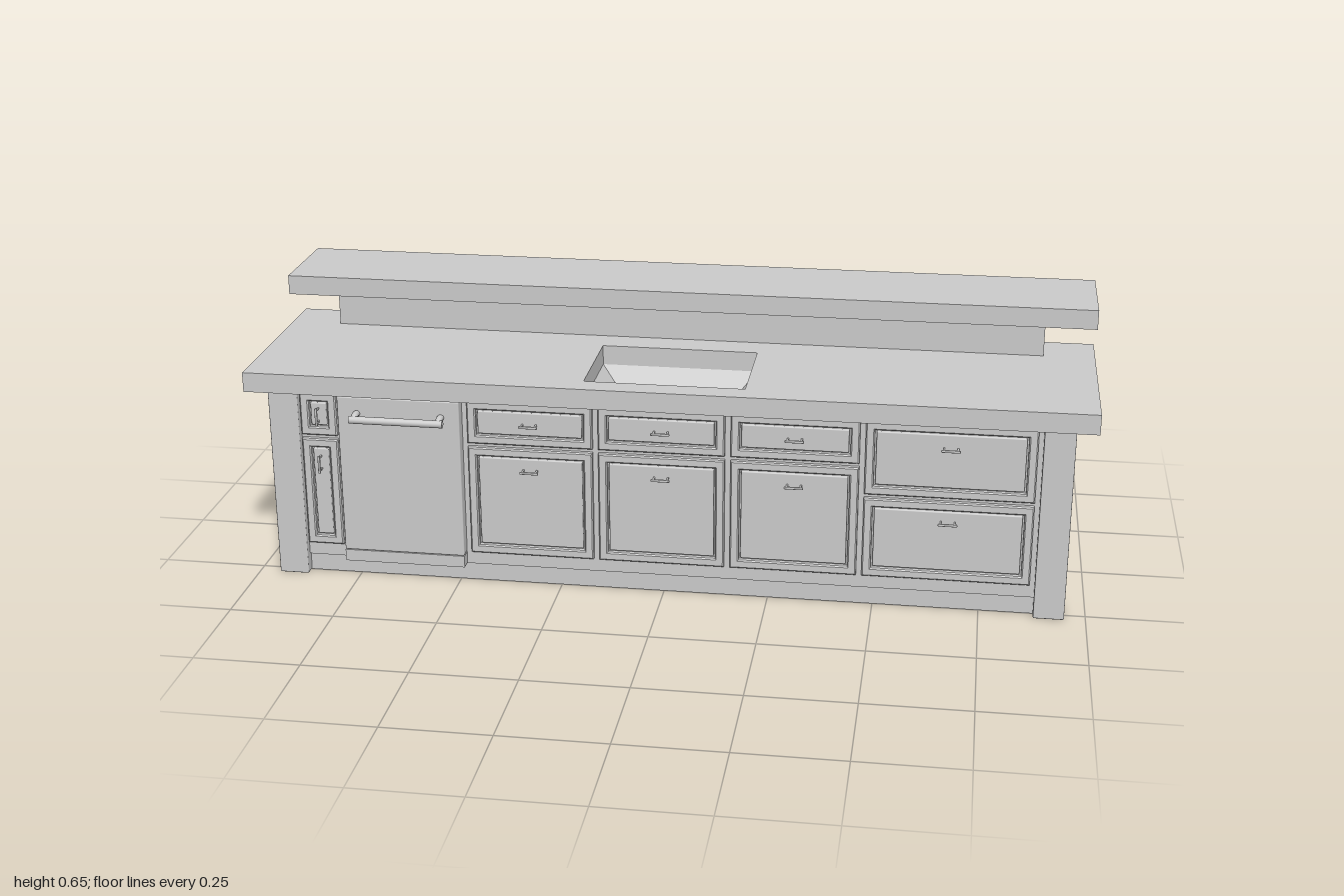
import * as THREE from 'three';
import { RoundedBoxGeometry } from 'three/addons/geometries/RoundedBoxGeometry.js';

const material = new THREE.MeshStandardMaterial({ color: 0xcccccc });
const thinMaterial = new THREE.MeshStandardMaterial({ color: 0xcccccc, flatShading: true, side: THREE.DoubleSide });

function add(parent, name, geometry, mat = material) {
  const mesh = new THREE.Mesh(geometry, mat);
  mesh.name = name;
  parent.add(mesh);
  return mesh;
}

// Box given by its extents on each axis; an optional radius softens the edges
function block(parent, name, x0, x1, y0, y1, z0, z1, radius = 0) {
  const size = [x1 - x0, y1 - y0, z1 - z0];
  const geometry = radius
    ? new RoundedBoxGeometry(...size, 2, radius)
    : new THREE.BoxGeometry(...size);
  const mesh = add(parent, name, geometry);
  mesh.position.set((x0 + x1) / 2, (y0 + y1) / 2, (z0 + z1) / 2);
  return mesh;
}

function rectangle(target, x0, x1, y0, y1) {
  target.moveTo(x0, y0);
  target.lineTo(x1, y0);
  target.lineTo(x1, y1);
  target.lineTo(x0, y1);
  target.closePath();
  return target;
}

function rectangleWithHole(outer, inner) {
  const shape = rectangle(new THREE.Shape(), ...outer);
  shape.holes.push(rectangle(new THREE.Path(), ...inner));
  return shape;
}

// Small bar pull on two standoffs
function pull(parent, x, y, z, length, vertical) {
  const group = new THREE.Group();
  group.name = 'pull';
  block(group, 'pullBar', -length / 2, length / 2, -0.003, 0.003, 0.017, 0.023, 0.002);
  for (const s of [-1, 1]) {
    const px = s * length * 0.36;
    block(group, 'pullStandoff', px - 0.002, px + 0.002, -0.002, 0.002, 0, 0.019);
  }
  group.position.set(x, y, z);
  if (vertical) group.rotation.z = Math.PI / 2;
  parent.add(group);
}

// Panelled front: bevelled frame, recessed field and raised centre
function panelFront(parent, name, x0, x1, y0, y1, handleY, vertical = false) {
  const group = new THREE.Group();
  group.name = name;
  const b = 0.003, rail = 0.018;
  const shape = rectangleWithHole(
    [x0 + b, x1 - b, y0 + b, y1 - b],
    [x0 + rail, x1 - rail, y0 + rail, y1 - rail]);
  const frame = add(group, 'frontFrame', new THREE.ExtrudeGeometry(shape, {
    depth: 0.012, bevelEnabled: true, bevelThickness: b, bevelSize: b, bevelSegments: 1,
  }));
  frame.position.z = 0.255;
  const inset = rail + 0.007;
  block(group, 'centrePanel', x0 + inset, x1 - inset, y0 + inset, y1 - inset, 0.25, 0.266, 0.003);
  pull(group, (x0 + x1) / 2, handleY, 0.265, 0.045, vertical);
  parent.add(group);
}

export function createModel() {
  const model = new THREE.Group();
  model.name = 'kitchenIsland';

  // Corner posts and recessed end panels
  for (const s of [-1, 1]) {
    const x0 = s > 0 ? 0.878 : -0.95;
    block(model, 'frontPost', x0, x0 + 0.072, 0, 0.477, 0.203, 0.277, 0.003);
    block(model, 'backPost', x0, x0 + 0.072, 0, 0.477, -0.173, -0.098, 0.003);
    block(model, 'endPanel', s * 0.914 - 0.008, s * 0.914 + 0.008, 0, 0.477, -0.1, 0.205);
  }

  // Hollow carcass, open below
  block(model, 'backPanel', -0.88, 0.88, 0, 0.477, -0.168, -0.15);
  block(model, 'faceFrame', -0.88, 0.88, 0.045, 0.477, 0.235, 0.257);
  block(model, 'toeKick', -0.88, 0.88, 0, 0.046, 0.23, 0.25);

  // Worktop with a sink cut-out
  const worktop = new THREE.ExtrudeGeometry(
    rectangleWithHole([-1, 1, -0.302, 0.197], [-0.19, 0.19, -0.245, 0.015]),
    { depth: 0.048, bevelEnabled: false });
  worktop.rotateX(-Math.PI / 2);
  add(model, 'worktop', worktop).position.y = 0.477;

  // Tapered basin with floor and drain
  const sink = new THREE.Group();
  sink.name = 'sink';
  const half = Math.SQRT1_2, taper = 0.55, depth = 0.1;
  const basin = new THREE.CylinderGeometry(half, half * taper, depth, 4, 1, true);
  basin.rotateY(Math.PI / 4).scale(0.38, 1, 0.26);
  add(sink, 'basinWalls', basin, thinMaterial).position.y = -depth / 2;
  const floor = new THREE.PlaneGeometry(0.38 * taper, 0.26 * taper).rotateX(-Math.PI / 2);
  add(sink, 'basinFloor', floor, thinMaterial).position.y = -depth;
  const ring = new THREE.TorusGeometry(0.019, 0.003, 8, 28).rotateX(Math.PI / 2);
  add(sink, 'drainRing', ring).position.y = -depth + 0.001;
  add(sink, 'drainPlug', new THREE.CylinderGeometry(0.009, 0.009, 0.006, 20)).position.y = -depth + 0.002;
  sink.position.set(0, 0.477, 0.115);
  model.add(sink);

  // Raised bar along the back
  block(model, 'barRiser', -0.877, 0.877, 0.525, 0.603, -0.178, -0.091);
  block(model, 'barTop', -1, 1, 0.603, 0.651, -0.322, -0.073);

  // Narrow column with upright pulls
  panelFront(model, 'narrowDrawer', -0.875, -0.787, 0.363, 0.47, 0.415, true);
  panelFront(model, 'narrowDoor', -0.875, -0.787, 0.08, 0.353, 0.293, true);

  // Three matching drawer-over-door columns
  for (const x of [-0.318, -0.004, 0.31]) {
    panelFront(model, 'drawer', x - 0.15, x + 0.15, 0.363, 0.47, 0.416);
    panelFront(model, 'door', x - 0.15, x + 0.15, 0.08, 0.353, 0.3);
  }

  // Wide drawer stack
  panelFront(model, 'wideUpperDrawer', 0.473, 0.866, 0.288, 0.47, 0.412);
  panelFront(model, 'wideLowerDrawer', 0.473, 0.866, 0.08, 0.278, 0.228);

  // Dishwasher with bowed handle
  const washer = new THREE.Group();
  washer.name = 'dishwasher';
  block(washer, 'dishwasherDoor', -0.778, -0.482, 0.076, 0.472, 0.225, 0.287, 0.004);
  block(washer, 'dishwasherBase', -0.778, -0.482, 0.046, 0.075, 0.225, 0.286);
  block(washer, 'controlStrip', -0.715, -0.535, 0.468, 0.477, 0.25, 0.28);
  const bar = add(washer, 'handleBar', new THREE.CylinderGeometry(0.009, 0.009, 0.226, 16).rotateZ(Math.PI / 2));
  bar.position.set(-0.628, 0.425, 0.315);
  for (const x of [-0.73, -0.526]) {
    const curve = new THREE.QuadraticBezierCurve3(
      new THREE.Vector3(x, 0.43, 0.284),
      new THREE.Vector3(x, 0.436, 0.302),
      new THREE.Vector3(x, 0.425, 0.315));
    add(washer, 'handleBracket', new THREE.TubeGeometry(curve, 8, 0.008, 10));
  }
  model.add(washer);

  return model;
}
